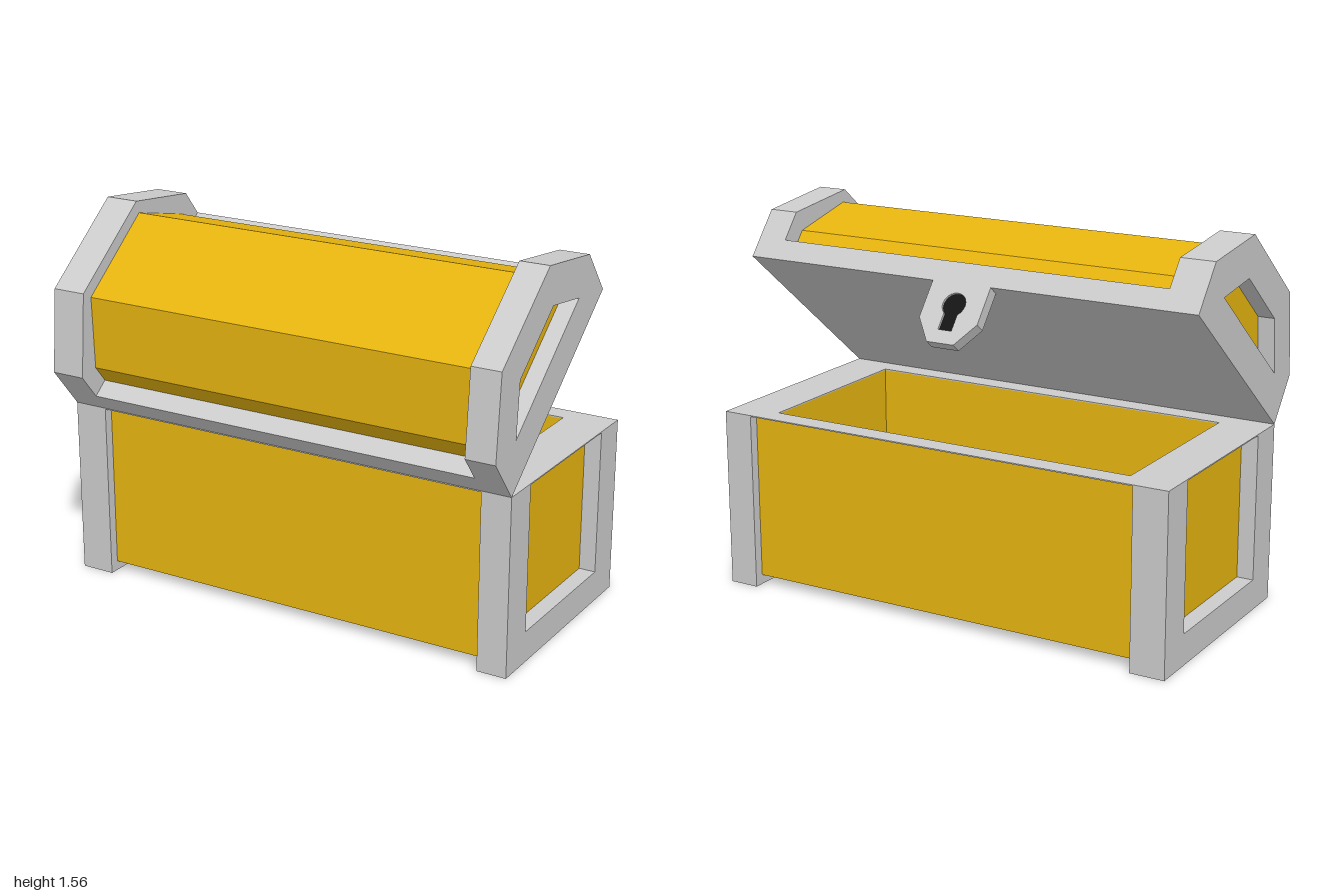
import * as THREE from 'three';

const grey = new THREE.MeshStandardMaterial({ color: 0xcccccc, flatShading: true });
const gold = new THREE.MeshStandardMaterial({ color: 0xe6b40f, flatShading: true });
const black = new THREE.MeshStandardMaterial({ color: 0x151515, flatShading: true });

const DEPTH = 0.96, BASE_H = 0.74, RIM_Y = 0.735;
// x ranges of the two end frames, and how far out the gold bodies reach inside them
const ENDS = { right: [-1, -0.855], left: [0.875, 1] };
const BODY_X = 0.93;

const outline = (pts) => new THREE.Shape(pts.map(([a, b]) => new THREE.Vector2(a, b)));
const rect = (a0, b0, a1, b1) => [[a0, b0], [a1, b0], [a1, b1], [a0, b1]];

function extrude(points, hole, depth) {
  const shape = outline(points);
  if (hole) shape.holes.push(outline(hole));
  return new THREE.ExtrudeGeometry(shape, { depth, bevelEnabled: false });
}

function add(group, name, geometry, material) {
  const mesh = new THREE.Mesh(geometry, material);
  mesh.name = name;
  group.add(mesh);
  return mesh;
}

// Side profile (distance from hinge, height) swept along x
const sweepX = (points, hole, x0, x1) =>
  extrude(points, hole, x1 - x0).rotateY(Math.PI / 2).translate(x0, 0, 0);

// Plan outline (x, distance from hinge) raised along y
const raiseY = (points, hole, y0, y1) =>
  extrude(points, hole, y1 - y0).rotateX(-Math.PI / 2).translate(0, y0, 0);

function createBase() {
  const base = new THREE.Group();
  base.name = 'base';

  // U-shaped end frames around the recessed end panels
  const u = [[0, 0], [DEPTH, 0], [DEPTH, RIM_Y], [0.8, RIM_Y], [0.8, 0.13], [0.16, 0.13], [0.16, RIM_Y], [0, RIM_Y]];
  for (const [side, [x0, x1]] of Object.entries(ENDS)) {
    add(base, side + 'BaseFrame', sweepX(u, null, x0, x1), grey);
  }

  // Hollow gold box with a floor, capped by a thin rim
  const opening = rect(-0.8, 0.09, 0.8, 0.87);
  add(base, 'baseWalls', raiseY(rect(-BODY_X, 0.04, BODY_X, 0.92), opening, 0.04, RIM_Y), gold);
  add(base, 'baseFloor', raiseY(opening, null, 0.04, 0.1), gold);
  add(base, 'baseRim', raiseY(rect(-1, 0, 1, DEPTH), opening, RIM_Y, BASE_H), grey);
  return base;
}

function keyholeShape() {
  const path = new THREE.Shape();
  path.moveTo(-0.03, -0.2);
  path.lineTo(0.03, -0.2);
  path.lineTo(0.03, -0.13);
  path.absarc(0, -0.09, 0.05, -0.93, Math.PI + 0.93, false);
  path.lineTo(-0.03, -0.2);
  return path.getPoints(8).map((p) => [p.x, p.y]).slice(0, -1);
}

function createLid() {
  const lid = new THREE.Group();
  lid.name = 'lid';

  // Angular end frames with trapezoid windows
  const arch = [[0, 0], [DEPTH, 0], [DEPTH, 0.22], [0.715, 0.47], [0.24, 0.47], [0, 0.22]];
  const frameWindow = [[0.153, 0.154], [0.802, 0.154], [0.645, 0.318], [0.31, 0.318]];
  for (const [side, [x0, x1]] of Object.entries(ENDS)) {
    add(lid, side + 'LidFrame', sweepX(arch, frameWindow, x0, x1), grey);
  }

  // Gold faceted top and the flat board beneath it
  const top = [[0.08, 0.09], [0.88, 0.09], [0.88, 0.18], [0.695, 0.42], [0.26, 0.42], [0.08, 0.18]];
  add(lid, 'lidTop', sweepX(top, null, -BODY_X, BODY_X), gold);
  add(lid, 'lidBoard', sweepX(rect(0, 0, DEPTH, 0.09), null, ENDS.right[1], ENDS.left[0]), grey);

  // Hanging lock plate with a dark keyhole
  const keyhole = keyholeShape();
  const plate = [[-0.13, 0], [-0.13, -0.16], [-0.06, -0.256], [0.06, -0.256], [0.13, -0.16], [0.13, 0]];
  add(lid, 'lockPlate', extrude(plate, keyhole, 0.05), grey).position.z = -DEPTH;
  add(lid, 'keyhole', extrude(keyhole, null, 0.03), black).position.z = -DEPTH + 0.01;

  // Swung open on the hinge edge
  lid.position.y = BASE_H;
  lid.rotation.x = 0.681;
  return lid;
}

export function createModel() {
  const chest = new THREE.Group();
  chest.name = 'chest';
  const body = new THREE.Group();
  body.name = 'chestBody';
  body.add(createBase(), createLid());
  body.position.z = 0.41; // hinge line
  chest.add(body);
  return chest;
}
